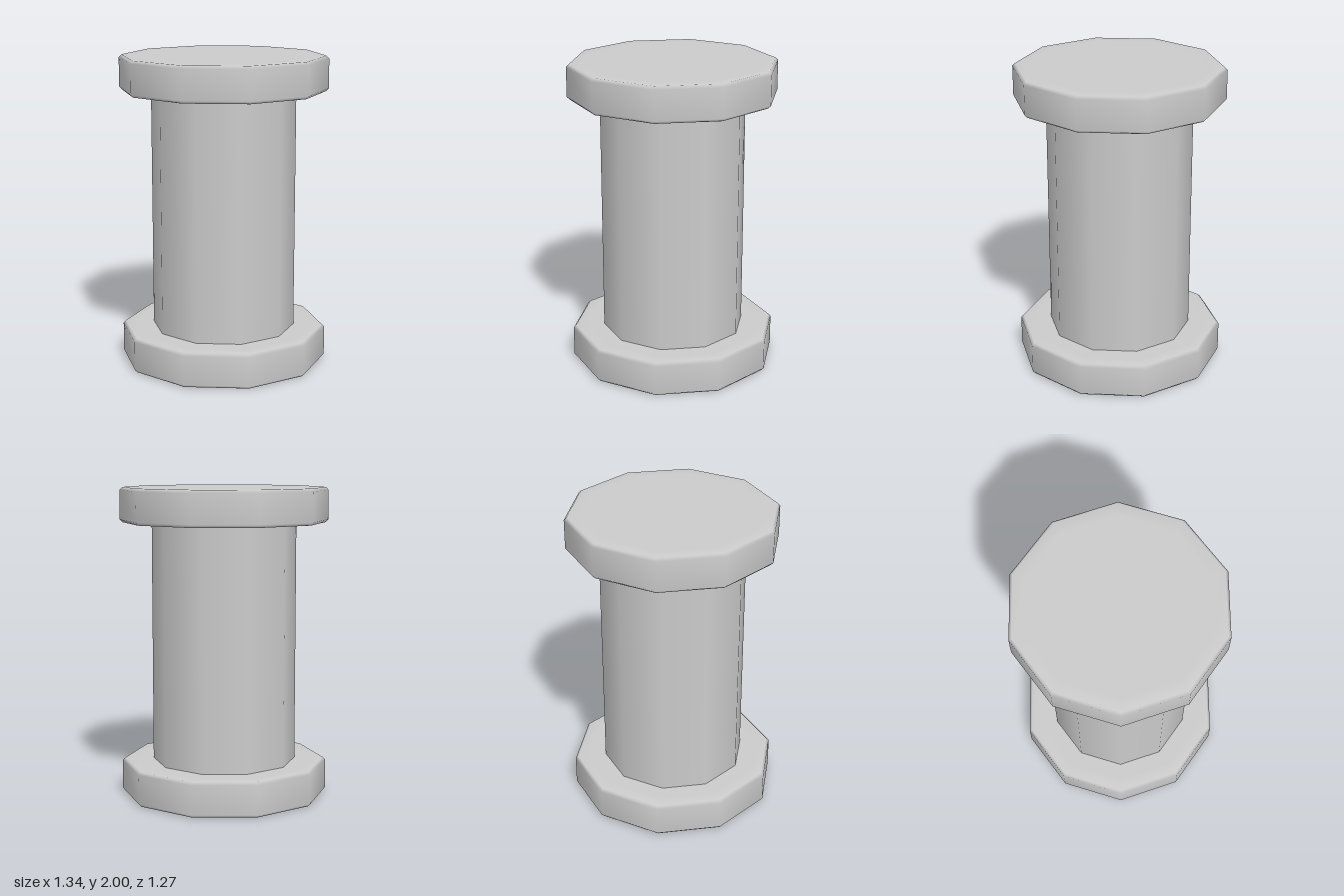
import * as THREE from 'three';

const SIDES = 10;
const START = Math.PI / 2; // puts a corner on the x axis
const FLANGE_RADIUS = 0.67;
const FLANGE_HEIGHT = 0.225;
const BEVEL = 0.018;
const SHAFT_RADIUS = 0.465;

// Ten-sided disc with softly bevelled rims, base at y = 0
function flangeGeometry() {
  const r = FLANGE_RADIUS, h = FLANGE_HEIGHT, b = BEVEL;
  const profile = [
    [0, 0], [r - 0.1, 0], [r - b, 0], [r, b],
    [r, h - b], [r - b, h], [r - 0.1, h], [0, h],
  ].map(([x, y]) => new THREE.Vector2(x, y));
  return new THREE.LatheGeometry(profile, SIDES, START);
}

export function createModel() {
  const model = new THREE.Group();
  model.name = 'spool';
  const material = new THREE.MeshStandardMaterial({ color: 0xcccccc });

  // Matching end flanges
  const flange = flangeGeometry();
  for (const [name, y] of [['bottomFlange', 0], ['topFlange', 2 - FLANGE_HEIGHT]]) {
    const mesh = new THREE.Mesh(flange, material);
    mesh.name = name;
    mesh.position.y = y;
    model.add(mesh);
  }

  // Shaft between the flanges, its ends closed off by them
  const shaft = new THREE.Mesh(
    new THREE.CylinderGeometry(SHAFT_RADIUS, SHAFT_RADIUS, 2 - 2 * FLANGE_HEIGHT, SIDES, 1, true, START),
    material,
  );
  shaft.name = 'shaft';
  shaft.position.y = 1;
  model.add(shaft);

  return model;
}
